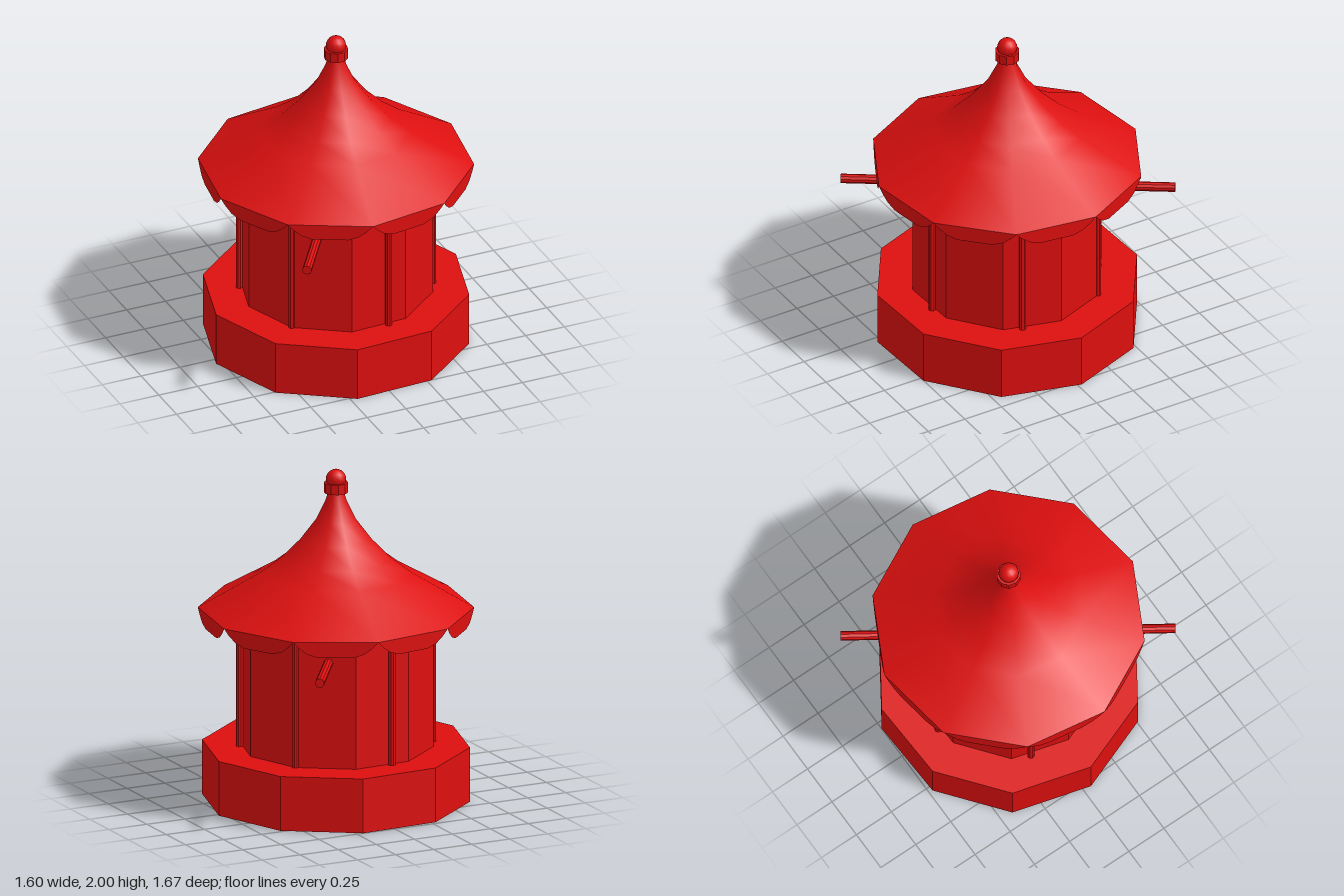
import * as THREE from 'three';

const RED = 0xdd0f0f;
const SIDES = 10;
const rad = THREE.MathUtils.degToRad;

export function createModel() {
  const model = new THREE.Group();
  model.name = 'pavilion';
  const flat = new THREE.MeshStandardMaterial({ color: RED, flatShading: true });
  const smooth = new THREE.MeshStandardMaterial({ color: RED, side: THREE.DoubleSide });

  // everything but the pole shares one slightly shifted axis
  const tower = new THREE.Group();
  tower.name = 'tower';
  tower.position.z = 0.013;
  model.add(tower);

  const add = (name, geometry, material, parent = tower) => {
    const mesh = new THREE.Mesh(geometry, material);
    mesh.name = name;
    parent.add(mesh);
    return mesh;
  };
  // upright prism from y0 to y1
  const prism = (r, y0, y1, sides = SIDES, start = rad(92.7)) =>
    new THREE.CylinderGeometry(r, r, y1 - y0, sides, 1, false, start).translate(0, (y0 + y1) / 2, 0);

  // plinth and walls
  add('base', prism(0.79, 0, 0.33), flat);
  add('walls', prism(0.575, 0.33, 1.27), flat);

  // six slim posts against the walls
  for (let i = 0; i < 6; i++) {
    const a = rad(21.7 + i * 60);
    const post = add('post', prism(0.021, 0.33, 1.24, 8, 0), flat);
    post.position.set(0.568 * Math.cos(a), 0, 0.568 * Math.sin(a));
  }

  // swept ten-sided roof
  const profile = [
    [0.81, 1.16], [0.445, 1.37], [0.325, 1.46], [0.21, 1.575],
    [0.115, 1.7], [0.062, 1.81], [0.042, 1.88],
  ].map(([x, y]) => new THREE.Vector2(x, y));
  add('roof', new THREE.LatheGeometry(profile, SIDES, rad(99)), smooth);

  // one hanging scallop along each eave
  const half = 0.81 * Math.sin(Math.PI / SIDES);
  const apothem = 0.81 * Math.cos(Math.PI / SIDES);
  const edge = [[1, 0], [0.87, -0.035], [0.68, -0.072], [0.42, -0.095]];
  const outline = [
    ...edge.map(([x, y]) => [-x, y]),
    ...edge.slice().reverse(),
  ].map(([x, y]) => new THREE.Vector2(x * half, y));
  const scallop = new THREE.ShapeGeometry(new THREE.Shape(outline)).translate(0, 1.16, apothem);
  for (let i = 0; i < SIDES; i++) {
    add('eaveScallop', scallop, smooth).rotation.y = rad(81 - i * 36);
  }

  // finial: collar and ball
  add('finialCollar', prism(0.072, 1.86, 1.92), flat);
  add('finialBall', new THREE.SphereGeometry(0.06, 12, 10).translate(0, 1.94, 0), smooth);

  // perch pole running through the body
  const from = new THREE.Vector3(-0.555, 0.97, 0.818);
  const to = new THREE.Vector3(0.53, 0.97, -0.818);
  const dir = to.clone().sub(from);
  const pole = add('perchPole', new THREE.CylinderGeometry(0.028, 0.028, dir.length(), 10), flat, model);
  pole.position.copy(from).add(to).multiplyScalar(0.5);
  pole.quaternion.setFromUnitVectors(new THREE.Vector3(0, 1, 0), dir.normalize());

  return model;
}
